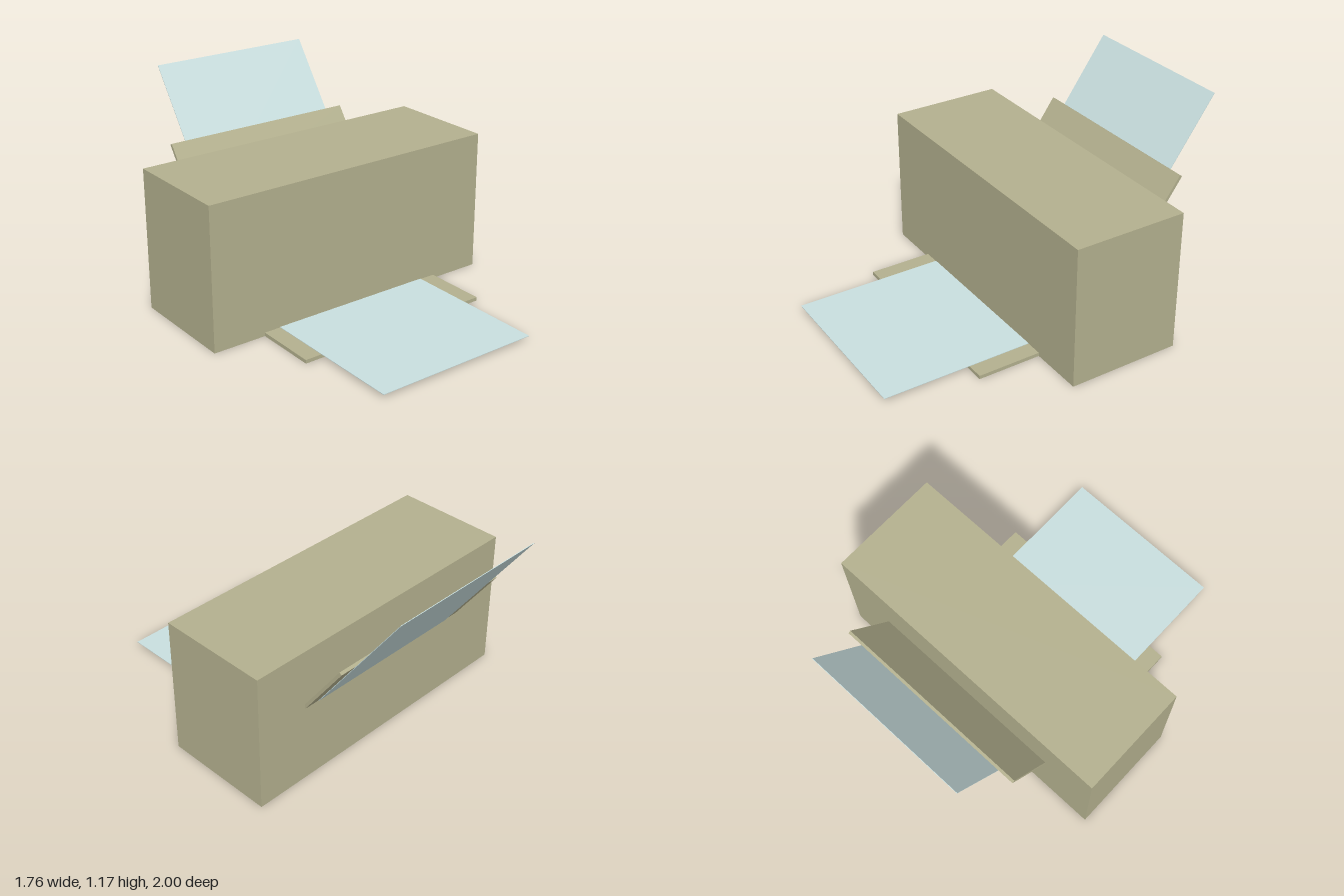
import * as THREE from 'three';

const shell = new THREE.MeshStandardMaterial({ name: 'khaki shell', color: 0xb3b08e });
const sheet = new THREE.MeshStandardMaterial({ name: 'pale blue paper', color: 0xc8dede });

// Box given by its minimum and maximum y and z, centred on x
function slab(name, material, width, y0, y1, z0, z1) {
  const mesh = new THREE.Mesh(new THREE.BoxGeometry(width, y1 - y0, z1 - z0), material);
  mesh.name = name;
  mesh.position.set(0, (y0 + y1) / 2, (z0 + z1) / 2);
  return mesh;
}

export function createModel() {
  const printer = new THREE.Group();
  printer.name = 'printer';

  // Main housing
  printer.add(slab('body', shell, 1.76, 0, 0.8, -0.49, 0.15));

  // Output tray with a printed sheet lying on it
  printer.add(slab('outputTray', shell, 1.15, 0, 0.02, 0.15, 0.51));
  printer.add(slab('outputPaper', sheet, 0.96, 0.02, 0.023, 0.15, 1));

  // Feed tray leaning back from the rear wall, with its sheet behind it
  const feed = new THREE.Group();
  feed.name = 'paperFeed';
  feed.position.set(0, 0.45, -0.49);
  feed.rotation.x = -0.616;
  feed.add(slab('feedTray', shell, 1.15, 0, 0.424, 0, 0.017));
  feed.add(slab('feedPaper', sheet, 0.96, 0, 0.88, -0.003, 0));
  printer.add(feed);

  return printer;
}
